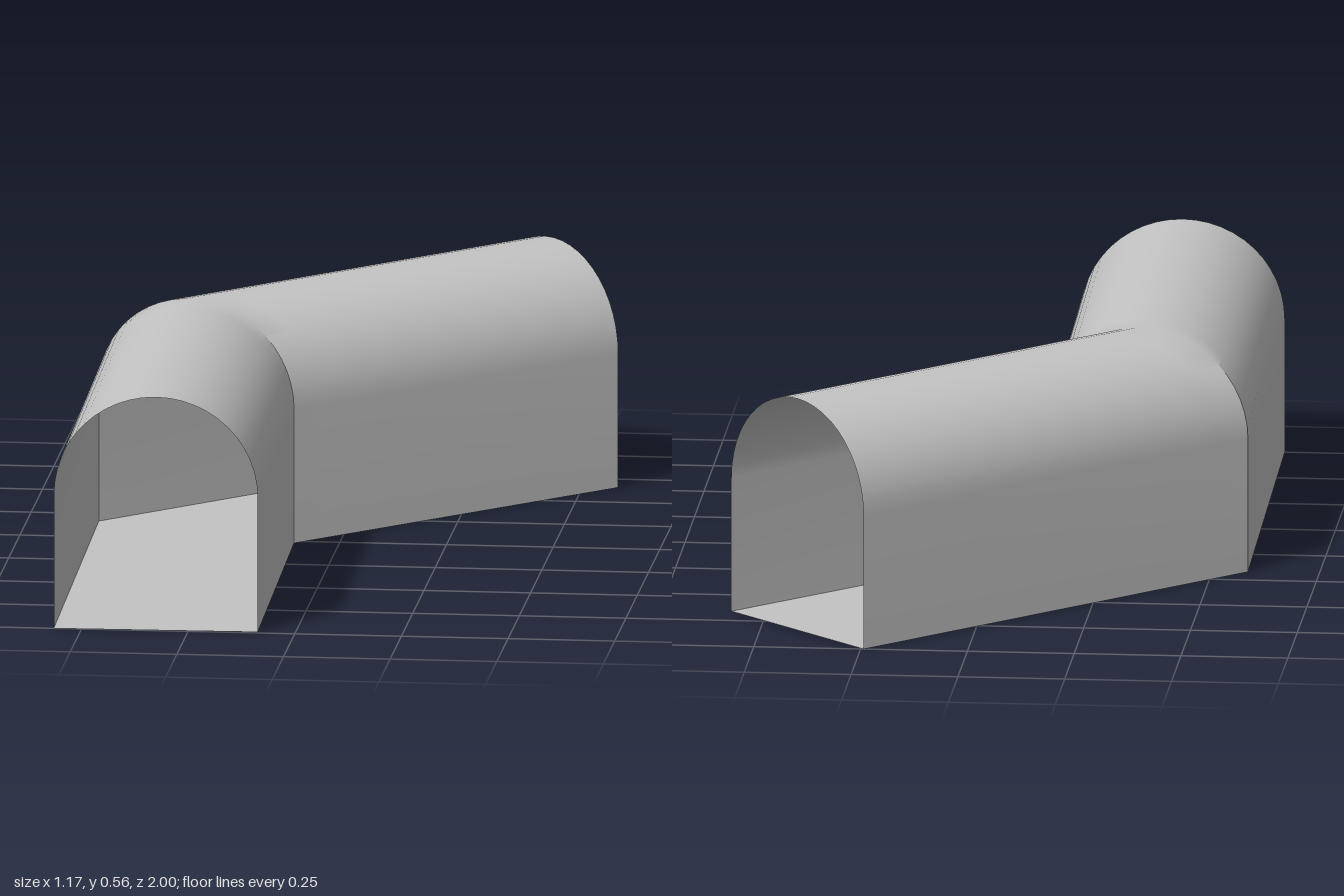
import * as THREE from 'three';
import { toCreasedNormals } from 'three/addons/utils/BufferGeometryUtils.js';

const WALL = 0.32, TOP = 0.556, ARCH_STEPS = 24;

// Plan of the tunnel: left and right foot points [x, z] at each station
const ENTRY = { l: [-0.565, 1.0], r: [-0.088, 0.99] };
const BEND = { l: [-0.583, -0.17], r: [-0.105, -0.02] };
const EXIT = { l: [0.243, -1.0], r: [0.583, -0.66] };

const mix = (a, b, t) => a.map((v, i) => v + (b[i] - v) * t);
const between = (a, b, t) => ({ l: mix(a.l, b.l, t), r: mix(a.r, b.r, t) });

// Sweep a profile of [across 0..1, height] points through the stations
function loft(stations, profile) {
  const pos = [], index = [], n = profile.length;
  stations.forEach((s, i) => {
    profile.forEach(([u, y], j) => {
      const [x, z] = mix(s.l, s.r, u);
      pos.push(x, y, z);
      if (i < stations.length - 1 && j < n - 1) {
        const a = i * n + j, b = a + 1, d = a + n, c = d + 1;
        index.push(a, b, c, a, c, d);
      }
    });
  });
  const g = new THREE.BufferGeometry();
  g.setAttribute('position', new THREE.Float32BufferAttribute(pos, 3));
  g.setIndex(index);
  return toCreasedNormals(g, THREE.MathUtils.degToRad(30));
}

export function createModel() {
  const group = new THREE.Group();
  group.name = 'bentTunnel';
  const grey = new THREE.MeshStandardMaterial({ color: 0xc4c4c4, side: THREE.DoubleSide });
  grey.name = 'lightGrey';

  // Extra stations beside the bend keep the shading blend local
  BEND.r[1] = 0.02;
  const stations = [ENTRY, between(ENTRY, BEND, 0.92), BEND, between(BEND, EXIT, 0.08), EXIT];

  // Upright walls joined by a round vault
  const arch = [[0, 0]];
  for (let i = 0; i <= ARCH_STEPS; i++) {
    const a = Math.PI * (1 - i / ARCH_STEPS);
    arch.push([0.5 + 0.5 * Math.cos(a), WALL + (TOP - WALL) * Math.sin(a)]);
  }
  arch.push([1, 0]);

  const shell = new THREE.Mesh(loft(stations, arch), grey);
  shell.name = 'vaultedShell';
  const floor = new THREE.Mesh(loft([ENTRY, BEND, EXIT], [[1, 0], [0, 0]]), grey);
  floor.name = 'floor';
  group.add(shell, floor);
  return group;
}
